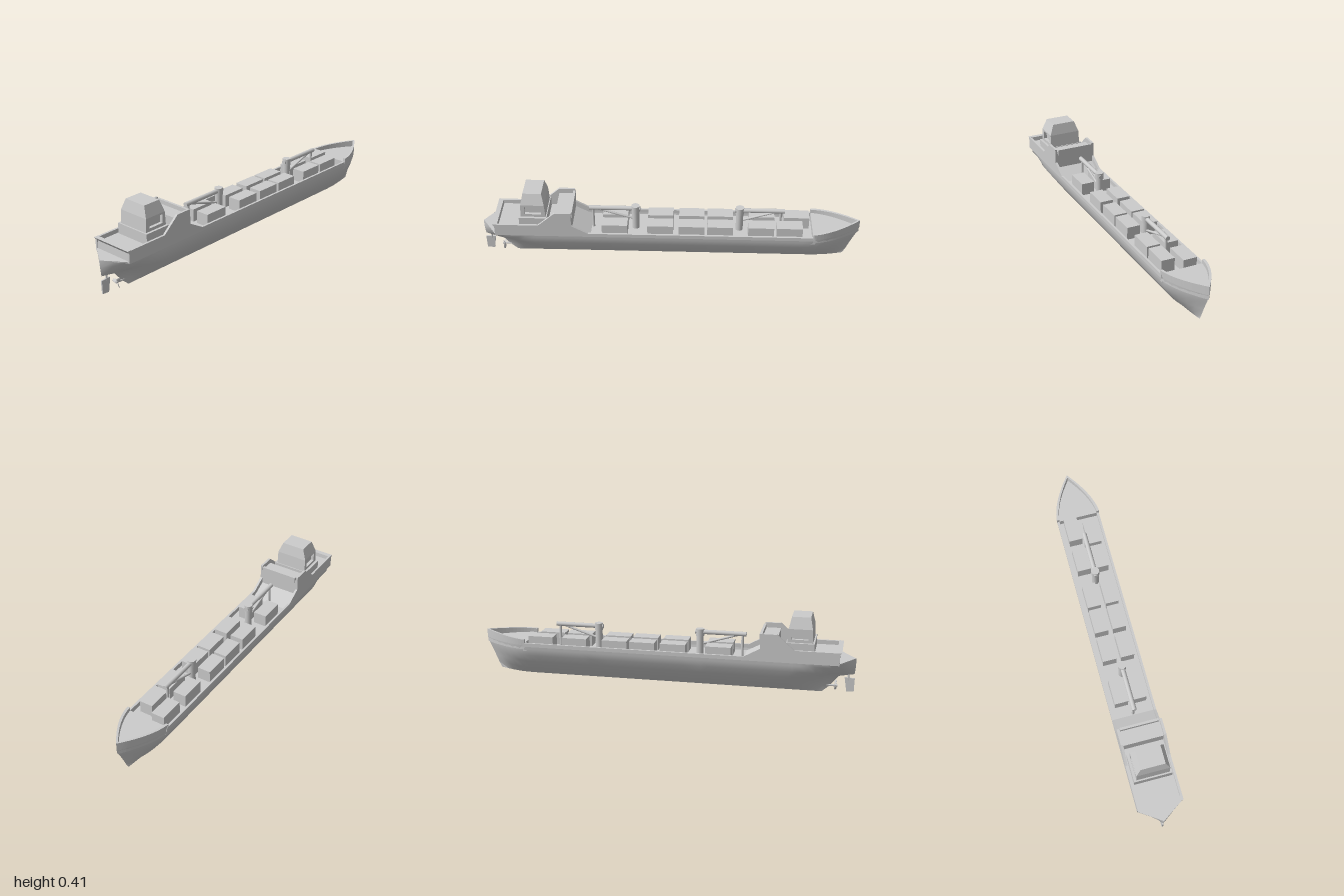
import * as THREE from 'three';

const mat = new THREE.MeshStandardMaterial({ color: 0xcccccc, side: THREE.DoubleSide });
const clamp = THREE.MathUtils.clamp;

export function createModel() {
  const ship = new THREE.Group();
  ship.name = 'cargoShip';

  function add(name, geo, x = 0, y = 0, z = 0, parent = ship) {
    const m = new THREE.Mesh(geo, mat);
    m.name = name;
    m.position.set(x, y, z);
    parent.add(m);
    return m;
  }
  // box given by its min and max corners
  function box(name, x0, x1, y0, y1, z0, z1, parent) {
    return add(name, new THREE.BoxGeometry(x1 - x0, y1 - y0, z1 - z0), (x0 + x1) / 2, (y0 + y1) / 2, (z0 + z1) / 2, parent);
  }
  const toShape = pts => new THREE.Shape(pts.map(p => new THREE.Vector2(...p)));
  // side profile of [z, y] points, given thickness across x
  function extrudeX(shape, width) {
    return new THREE.ExtrudeGeometry(shape, { depth: width, bevelEnabled: false })
      .translate(0, 0, -width / 2).rotateY(-Math.PI / 2);
  }
  // surface through rows of [x, y, z] points
  function loft(rows, flat) {
    const n = rows[0].length, idx = [];
    for (let i = 0; i < rows.length - 1; i++) for (let j = 0; j < n - 1; j++) {
      const a = i * n + j, b = a + n;
      idx.push(a, b, a + 1, b, b + 1, a + 1);
    }
    let g = new THREE.BufferGeometry();
    g.setAttribute('position', new THREE.Float32BufferAttribute(rows.flat(2), 3));
    g.setIndex(idx);
    if (flat) g = g.toNonIndexed();
    g.computeVertexNormals();
    return g;
  }
  // round bar between two points
  function bar(name, a, b, r, parent) {
    const p = new THREE.Vector3(...a), q = new THREE.Vector3(...b), d = q.clone().sub(p);
    const m = add(name, new THREE.CylinderGeometry(r, r, d.length(), 16), 0, 0, 0, parent);
    m.position.copy(p).add(q).multiplyScalar(0.5);
    m.quaternion.setFromUnitVectors(new THREE.Vector3(0, 1, 0), d.normalize());
    return m;
  }

  // hull: waterlines of [y, half width, bow z, bow y, stern z, stern y, stern taper start, taper power]
  const lines = [
    [0.0, 0.0, -0.925, 0.02, 0.83, 0.0, 0.55, 2],
    [0.045, 0.05, -0.94, 0.05, 0.87, 0.035, 0.55, 2],
    [0.09, 0.082, -0.957, 0.09, 0.915, 0.09, 0.62, 2],
    [0.13, 0.108, -0.975, 0.13, 0.995, 0.105, 0.72, 1.7],
    [0.165, 0.115, -0.992, 0.165, 1, 0.15, 0.88, 1.2],
    [0.19, 0.118, -1, 0.19, 1, 0.188, 0.92, 1],
  ];
  const stations = [];
  for (let i = 0; i <= 14; i++) stations.push(i / 14 * 0.3);
  for (let i = 1; i <= 6; i++) stations.push(0.3 + i / 6 * 0.3);
  for (let i = 1; i <= 20; i++) stations.push(0.6 + i / 20 * 0.4);
  const waterPoint = ([y, w, zb, yb, zs, ys, zt, pw], t, s) => {
    const z = THREE.MathUtils.lerp(zb, zs, t);
    const bow = clamp((-0.74 - z) / (-0.74 - zb), 0, 1), stern = clamp((z - zt) / (zs - zt), 0, 1);
    const yy = y + (yb - y) * bow ** 2 + (ys - y) * stern ** 2;
    return [s * w * (1 - bow ** 1.7) * (1 - stern ** pw), yy, z];
  };
  for (const s of [1, -1])
    add(s > 0 ? 'hullLeft' : 'hullRight', loft(lines.map(l => stations.map(t => waterPoint(l, t, s)))));

  // decks
  box('mainDeck', -0.113, 0.113, 0.155, 0.165, -0.76, 0.53);
  box('poopDeck', -0.112, 0.112, 0.2, 0.225, 0.52, 0.912);
  add('deckRamp', extrudeX(toShape([[0.42, 0.165], [0.515, 0.165], [0.515, 0.215]]), 0.216));
  add('sternDeck', new THREE.ExtrudeGeometry(toShape([[-0.117, 0.9], [0.117, 0.9], [0.117, 0.92], [0, 0.999], [-0.117, 0.92]]),
    { depth: 0.006, bevelEnabled: false }).rotateX(Math.PI / 2), 0, 0.19, 0);

  // side bulwarks with the raised cheeks beside the bridge
  const side = [[-0.76, 0.18], [-0.76, 0.2], [0.43, 0.2], [0.515, 0.247], [0.515, 0.326], [0.6, 0.326],
    [0.69, 0.247], [0.92, 0.247], [0.92, 0.18]];
  for (const s of [1, -1]) add('sideBulwark', extrudeX(toShape(side), 0.012), s * 0.1125);
  add('transom', extrudeX(toShape([[0.9, 0.185], [0.918, 0.185], [0.916, 0.23], [0.93, 0.248], [0.905, 0.248]]), 0.237));

  // forecastle bulwark and deck
  const bowZ = Array.from({ length: 15 }, (_, i) => -0.75 - i / 14 * 0.25);
  const bowX = z => 0.118 * (1 - clamp((-0.74 - z) / 0.26, 0, 1) ** 1.7);
  for (const s of [1, -1]) {
    add('bowBulwark', loft(bowZ.map(z => {
      const x = bowX(z), top = 0.22 + (-0.75 - z) * 0.06, inner = Math.max(x - 0.011, 0);
      const zi = Math.max(z, -0.985);
      return [[s * x, 0.188, z], [s * x * 1.025, top, z], [s * inner, top, zi], [s * inner, 0.195, zi]];
    }), true));
    box('bowBulwarkEnd', s > 0 ? 0.107 : -0.12, s > 0 ? 0.12 : -0.107, 0.19, 0.22, -0.756, -0.748);
  }
  const deckEdge = bowZ.map(z => [bowX(z) * 0.98, z * 0.998]);
  add('forecastleDeck', new THREE.ExtrudeGeometry(
    toShape([...deckEdge, ...deckEdge.slice(0, -1).reverse().map(([x, z]) => [-x, z])]),
    { depth: 0.035, bevelEnabled: false }).rotateX(Math.PI / 2), 0, 0.2, 0);

  // bridge front block with parapet
  box('bridgeBlock', -0.107, 0.107, 0.165, 0.3, 0.515, 0.6);
  box('bridgeParapet', -0.102, 0.102, 0.29, 0.322, 0.51, 0.523);

  // deckhouse tower: plinth, windowed middle, tapered top
  const house = new THREE.Group();
  house.name = 'deckhouse';
  ship.add(house);
  box('plinth', -0.1, 0.1, 0.22, 0.281, 0.645, 0.79, house);
  const wall = toShape([[0.65, 0.28], [0.782, 0.28], [0.778, 0.352], [0.655, 0.352]]);
  wall.holes.push(new THREE.Path([[0.672, 0.297], [0.672, 0.343], [0.758, 0.343], [0.758, 0.297]].map(p => new THREE.Vector2(...p))));
  add('houseWalls', extrudeX(wall, 0.174), 0, 0, 0, house);
  box('houseCore', -0.07, 0.07, 0.285, 0.35, 0.665, 0.765, house);
  const ring = (x, y, z0, z1) => [[x, y, z0], [-x, y, z0], [-x, y, z1], [x, y, z1], [x, y, z0]];
  const point = Array(5).fill([0, 0.411, 0.71]);
  add('houseTop', loft([ring(0.087, 0.352, 0.655, 0.778), ring(0.064, 0.411, 0.668, 0.765), point], true), 0, 0, 0, house);

  // cargo containers: left and right column, each as start z
  const starts = [[-0.695, -0.735], [-0.545, -0.55], [-0.33, -0.33], [-0.18, -0.18], [-0.015, -0.015], [0.225, 0.225]];
  for (const row of starts) row.forEach((z, i) => {
    const x = i ? -0.049 : 0.049;
    box('container', x - 0.036, x + 0.036, 0.165, 0.232, z, z + 0.135);
  });

  // deck cranes
  for (const [z, d, len] of [[0.185, 1, 0.245], [-0.365, -1, 0.235]]) {
    const crane = new THREE.Group();
    crane.name = 'crane';
    crane.position.z = z;
    ship.add(crane);
    bar('cranePost', [0, 0.16, 0], [0, 0.295, 0], 0.019, crane);
    bar('craneCap', [0, 0.265, 0], [0, 0.303, 0], 0.022, crane);
    bar('craneBoom', [0, 0.286, -d * 0.025], [0, 0.286, d * len], 0.012, crane);
    bar('craneBrace', [0, 0.222, d * 0.01], [0, 0.278, d * (len - 0.05)], 0.006, crane);
    bar('boomRest', [0, 0.16, d * (len - 0.02)], [0, 0.286, d * (len - 0.02)], 0.007, crane);
  }

  // rudder and propeller
  add('rudder', extrudeX(toShape([[0.997, 0.082], [0.945, 0.085], [0.957, 0.008], [0.995, 0.012]]), 0.008));
  bar('rudderStock', [0, 0.07, 0.965], [0, 0.13, 0.965], 0.005);
  bar('propellerShaft', [0, 0.038, 0.83], [0, 0.038, 0.91], 0.006);
  for (let i = 0; i < 3; i++) {
    const arm = new THREE.Group();
    arm.name = 'propellerBlade';
    arm.position.set(0, 0.038, 0.9);
    arm.rotation.z = -0.6 + i * Math.PI * 2 / 3;
    ship.add(arm);
    const blade = add('blade', new THREE.SphereGeometry(1, 12, 8), 0, 0.017, 0, arm);
    blade.scale.set(0.009, 0.015, 0.002);
    blade.rotation.y = 0.7;
  }
  return ship;
}
